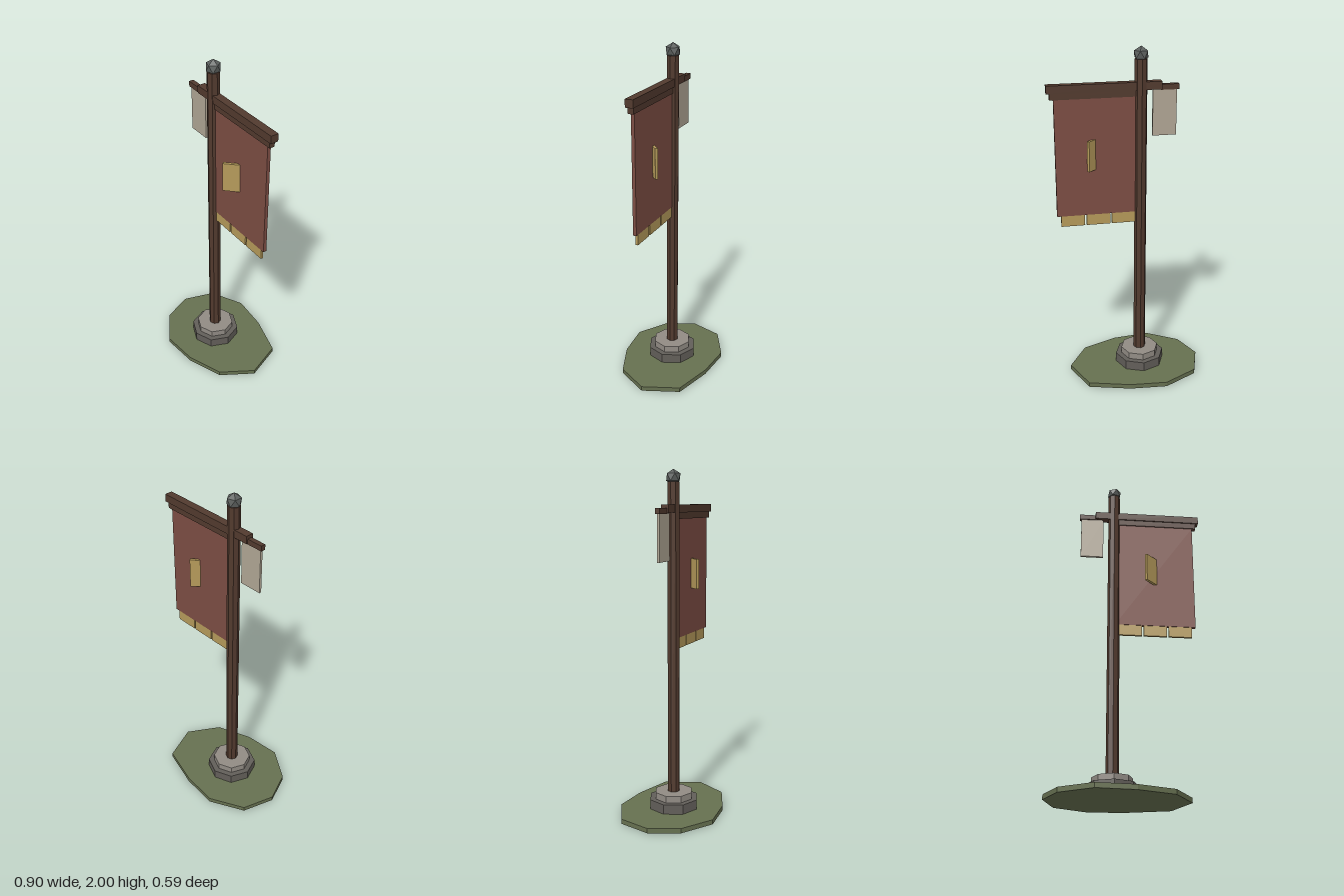
import * as THREE from 'three';

const mat = (name, color) => {
  const m = new THREE.MeshStandardMaterial({ color, flatShading: true });
  m.name = name;
  return m;
};

export function createModel() {
  const grass = mat('mossGreen', 0x667050);
  const darkStone = mat('darkStone', 0x625e59);
  const paleStone = mat('paleStone', 0x918b84);
  const wood = mat('darkWood', 0x523a2e);
  const cloth = mat('redCloth', 0x7c4d43);
  const gold = mat('dullGold', 0xb59a5a);
  const linen = mat('linen', 0xb0a694);
  const iron = mat('iron', 0x5c605e);

  const group = new THREE.Group();
  const PX = -0.08; // pole axis
  const add = (name, geometry, material, x, y, z = 0) => {
    const mesh = new THREE.Mesh(geometry, material);
    mesh.name = name;
    mesh.position.set(x, y, z);
    group.add(mesh);
    return mesh;
  };
  // box given by its x and y limits and its depth
  const slab = (name, material, x0, x1, y0, y1, depth) =>
    add(name, new THREE.BoxGeometry(x1 - x0, y1 - y0, depth), material, (x0 + x1) / 2, (y0 + y1) / 2);
  // upright eight-sided drum
  const drum = (name, material, r, y0, y1) =>
    add(name, new THREE.CylinderGeometry(r, r, y1 - y0, 8), material, PX, (y0 + y1) / 2);

  // irregular ground patch
  const outline = [
    [0.355, 0], [0.27, 0.212], [0.03, 0.278], [-0.19, 0.295], [-0.39, 0.19],
    [-0.45, 0], [-0.375, -0.175], [-0.19, -0.292], [0.03, -0.271], [0.24, -0.188],
  ].map(([x, y]) => new THREE.Vector2(x, y));
  const patch = new THREE.ExtrudeGeometry(new THREE.Shape(outline), { depth: 0.028, bevelEnabled: false });
  patch.rotateX(-Math.PI / 2);
  add('groundPatch', patch, grass, 0, 0);

  // stepped stone foot and pole
  drum('lowerFoot', darkStone, 0.148, 0.02, 0.085);
  drum('upperFoot', paleStone, 0.114, 0.08, 0.125);
  drum('pole', wood, 0.036, 0.12, 1.93);

  // faceted finial, one corner pointing up
  const knob = new THREE.IcosahedronGeometry(0.045, 0);
  knob.rotateZ(-Math.atan(2 / (1 + Math.sqrt(5))));
  add('finial', knob, iron, PX, 1.955);

  // crossbar, trim below it and short rear arm
  slab('crossbar', wood, -0.197, 0.447, 1.76, 1.805, 0.046);
  slab('bannerRail', wood, -0.05, 0.43, 1.724, 1.762, 0.032);
  slab('shortArm', wood, -0.295, -0.19, 1.755, 1.786, 0.028);

  // hanging cloths
  slab('banner', cloth, -0.07, 0.408, 1.04, 1.726, 0.02);
  slab('smallPennant', linen, -0.284, -0.147, 1.493, 1.757, 0.014);

  // fringe tabs
  for (let i = 0; i < 3; i++) {
    const x = -0.049 + i * 0.148;
    slab('fringeTab', gold, x, x + 0.138, 0.975, 1.045, 0.014);
  }

  // gold plate set diagonally through the banner
  const plate = add('emblemPlate', new THREE.BoxGeometry(0.167, 0.176, 0.016), gold, 0.168, 1.401, 0.013);
  plate.rotation.y = Math.PI / 4;

  return group;
}
